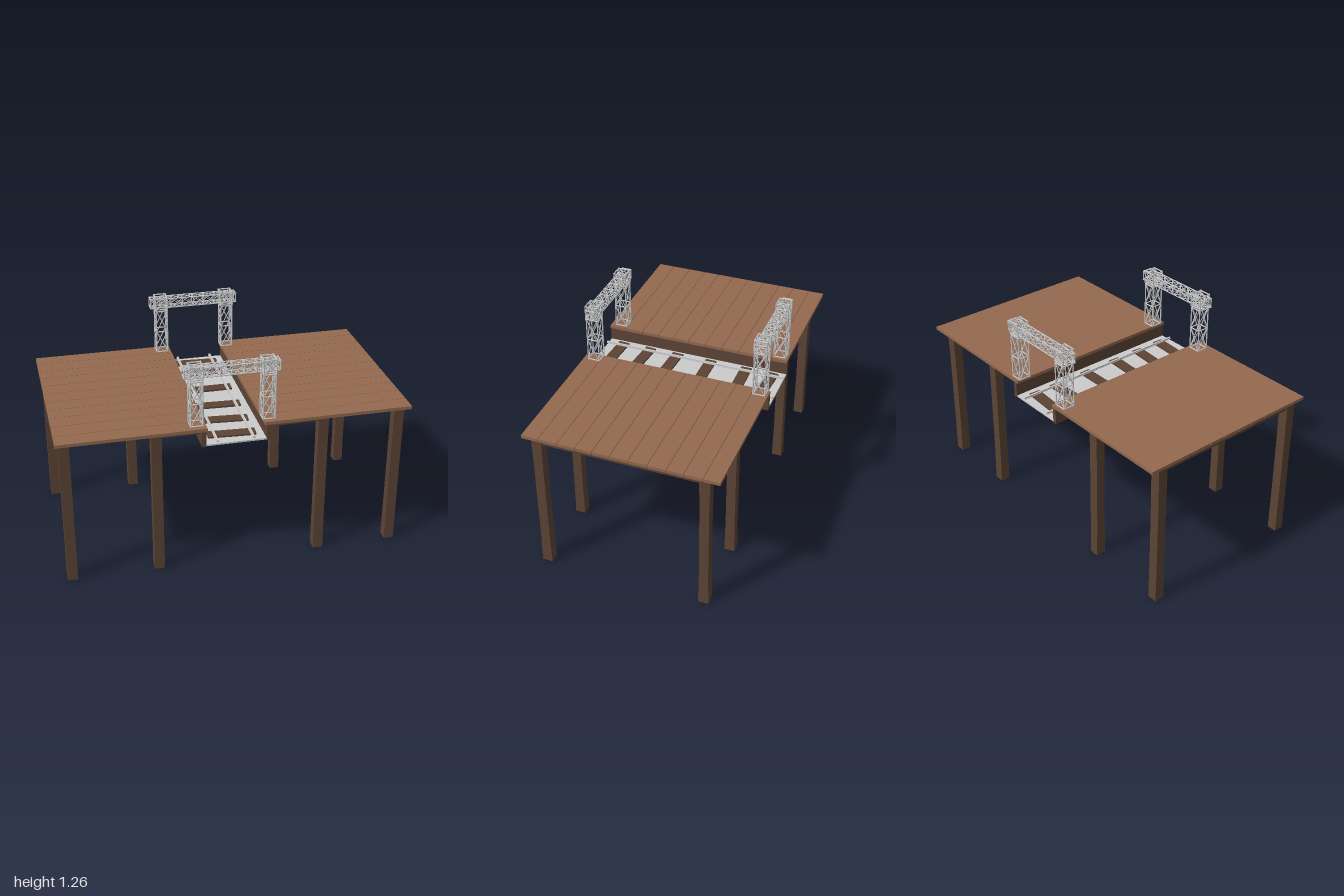
import * as THREE from 'three';
import { mergeGeometries } from 'three/addons/utils/BufferGeometryUtils.js';

const plankMat = new THREE.MeshStandardMaterial({ color: 0x94694f });
const beamMat = new THREE.MeshStandardMaterial({ color: 0x5c4435 });
const metalMat = new THREE.MeshStandardMaterial({ color: 0xcccccc });

// Box given by its min and max corners
function box(parent, name, mat, [x0, y0, z0], [x1, y1, z1]) {
  const mesh = new THREE.Mesh(new THREE.BoxGeometry(x1 - x0, y1 - y0, z1 - z0), mat);
  mesh.position.set((x0 + x1) / 2, (y0 + y1) / 2, (z0 + z1) / 2);
  mesh.name = name;
  parent.add(mesh);
  return mesh;
}

// Round bar between two points
function bar(a, b, r) {
  const dir = b.clone().sub(a);
  const g = new THREE.CylinderGeometry(r, r, dir.length(), 6);
  g.applyQuaternion(new THREE.Quaternion().setFromUnitVectors(new THREE.Vector3(0, 1, 0), dir.normalize()));
  return g.translate((a.x + b.x) / 2, (a.y + b.y) / 2, (a.z + b.z) / 2);
}

// Square lattice truss rising along y through the given levels, X-braced on each side
function truss(name, size, levels, r, rBrace) {
  const h = size / 2 - r;
  const corners = [[-h, -h], [h, -h], [h, h], [-h, h]];
  const at = (i, y) => new THREE.Vector3(corners[i % 4][0], y, corners[i % 4][1]);
  const parts = [];
  for (let i = 0; i < 4; i++) {
    parts.push(bar(at(i, levels[0]), at(i, levels[levels.length - 1]), r));
    levels.forEach((y, k) => {
      const edge = k === 0 ? r : k === levels.length - 1 ? -r : 0;
      parts.push(bar(at(i, y + edge), at(i + 1, y + edge), r));
      if (k === 0) return;
      parts.push(bar(at(i, levels[k - 1]), at(i + 1, y), rBrace));
      parts.push(bar(at(i + 1, levels[k - 1]), at(i, y), rBrace));
    });
  }
  const mesh = new THREE.Mesh(mergeGeometries(parts), metalMat);
  mesh.name = name;
  return mesh;
}

// Rough-hewn post, slightly narrower in the middle
function post(parent, x, z) {
  const g = new THREE.BoxGeometry(0.058, 0.885, 0.06, 1, 4, 1);
  const p = g.attributes.position;
  for (let i = 0; i < p.count; i++) {
    const waist = Math.abs(p.getY(i)) < 0.3 ? 0.9 : 1;
    p.setZ(i, p.getZ(i) * waist);
  }
  g.computeVertexNormals();
  const mesh = new THREE.Mesh(g, beamMat);
  mesh.position.set(x, 0.4425, z);
  mesh.name = 'post';
  parent.add(mesh);
}

// One platform: planked deck, posts, and supporting beams
function platform(name, x0, x1, posts, edge) {
  const g = new THREE.Group();
  g.name = name;
  const seams = [-0.56, -0.465, -0.36, -0.265, -0.16, -0.055, 0.05, 0.15, 0.245, 0.35, 0.46, 0.56];
  for (let i = 0; i < seams.length - 1; i++) {
    box(g, 'plank', plankMat, [x0, 0.885, seams[i] + 0.0012], [x1, 0.904, seams[i + 1] - 0.0012]);
  }
  for (const x of posts) {
    for (const z of [0.485, -0.466]) post(g, x, z);
    box(g, 'lengthBeam', beamMat, [x - 0.024, 0.846, -0.44], [x + 0.024, 0.885, 0.46]);
  }
  // Cross beams run from the inner posts to the edge of the track channel
  const inner = posts[1];
  for (const z of [0.485, -0.466]) {
    box(g, 'crossBeam', beamMat,
      [Math.min(inner, edge), 0.848, z - 0.022], [Math.max(inner, edge), 0.885, z + 0.022]);
  }
  box(g, 'edgeBeam', beamMat, [edge - 0.012, 0.793, -0.56], [edge + 0.012, 0.885, 0.56]);
  return g;
}

export function createModel() {
  const model = new THREE.Group();
  model.name = 'trackPlatform';
  model.add(platform('rightPlatform', -1, -0.174, [-0.95, -0.449], -0.195));
  model.add(platform('leftPlatform', 0.148, 1, [0.946, 0.5], 0.17));

  // Sunken track bed with slightly crooked sleepers and two rails
  const track = new THREE.Group();
  track.name = 'track';
  box(track, 'trackBed', metalMat, [-0.205, 0.796, -0.558], [0.18, 0.805, 0.558]);
  [[-0.478, -0.07], [-0.325, 0.02], [-0.1, 0], [0.117, -0.05], [0.297, -0.08], [0.468, -0.06]].forEach(([z, turn]) => {
    const s = box(track, 'sleeper', beamMat, [-0.157, 0.804, z - 0.033], [0.115, 0.815, z + 0.033]);
    s.rotation.y = turn;
  });
  for (const x of [-0.118, 0.087]) {
    box(track, 'railFoot', metalMat, [x - 0.008, 0.814, -0.558], [x + 0.008, 0.817, 0.558]);
    box(track, 'railHead', metalMat, [x - 0.005, 0.817, -0.558], [x + 0.005, 0.825, 0.558]);
  }
  model.add(track);

  // Two lattice gantries across the track
  const spanLevels = Array.from({ length: 9 }, (_, i) => (i / 8 - 0.5) * 0.536);
  for (const z of [0.493, -0.509]) {
    const gantry = new THREE.Group();
    gantry.name = z > 0 ? 'frontGantry' : 'backGantry';
    for (const x of [-0.227, 0.178]) {
      const tower = truss('tower', 0.076, [0.904, 1.041, 1.177], 0.004, 0.003);
      const head = truss('towerHead', 0.08, [1.182, 1.263], 0.004, 0.0025);
      tower.position.set(x, 0, z);
      head.position.set(x, 0, z);
      gantry.add(tower, head);
    }
    const span = truss('span', 0.062, spanLevels, 0.0035, 0.0025);
    span.rotation.z = Math.PI / 2;
    span.position.set(-0.027, 1.22, z - 0.003);
    gantry.add(span);
    model.add(gantry);
  }
  return model;
}
